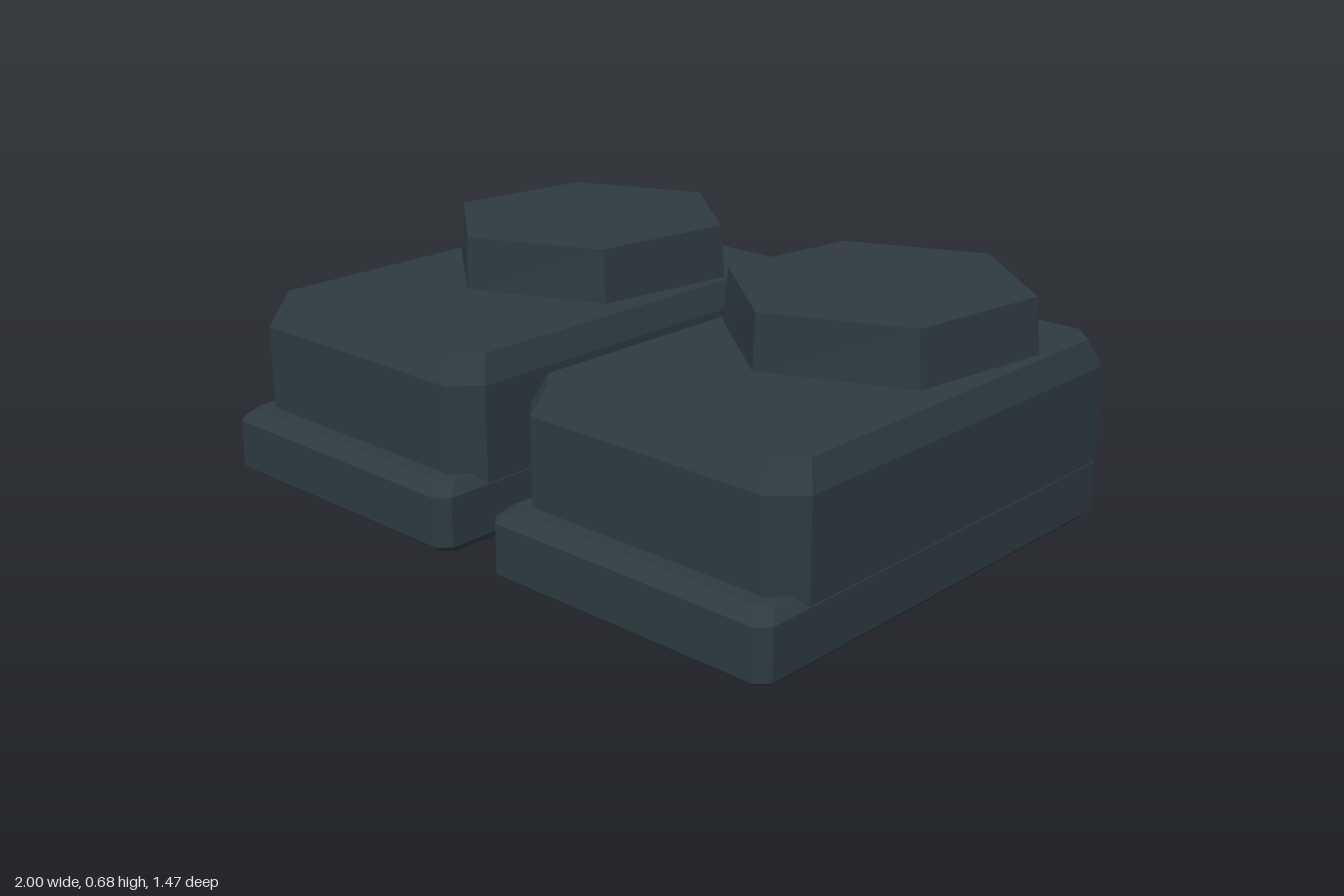
import * as THREE from 'three';
import { ConvexGeometry } from 'three/addons/geometries/ConvexGeometry.js';

// Octagonal outline at height y: half width hx, from z0 to z1, corners cut by c
function octagon(y, hx, z0, z1, c) {
  const points = [];
  for (const sx of [-1, 1]) {
    for (const [z, dir] of [[z0, 1], [z1, -1]]) {
      points.push(new THREE.Vector3(sx * (hx - c), y, z));
      points.push(new THREE.Vector3(sx * hx, y, z + dir * c));
    }
  }
  return points;
}

// Block with every edge bevelled
function bevelledBlock({ h, hx, z0, z1, corner, innerCorner, insetX, insetZ, insetY }) {
  const inner = [hx - insetX, z0 + insetZ, z1 - insetZ, innerCorner];
  return new ConvexGeometry([
    ...octagon(0, ...inner),
    ...octagon(insetY, hx, z0, z1, corner),
    ...octagon(h - insetY, hx, z0, z1, corner),
    ...octagon(h, ...inner),
  ]);
}

// Six-sided tapered ankle, slightly turned
function ankleGeometry() {
  const geometry = new THREE.CylinderGeometry(1, 1, 0.175, 6, 1, false, THREE.MathUtils.degToRad(-8));
  const pos = geometry.attributes.position;
  for (let i = 0; i < pos.count; i++) {
    const top = pos.getY(i) > 0;
    pos.setX(i, pos.getX(i) * (top ? 0.415 : 0.433));
    pos.setZ(i, pos.getZ(i) * (top ? 0.44 : 0.447));
  }
  geometry.computeVertexNormals();
  return geometry;
}

export function createModel() {
  const model = new THREE.Group();
  model.name = 'boots';

  const leather = new THREE.MeshStandardMaterial({ color: 0x2d3a40, flatShading: true });
  leather.name = 'dark slate';

  const body = bevelledBlock({
    h: 0.52, hx: 0.455, z0: -0.737, z1: 0.65, corner: 0.075,
    innerCorner: 0.066, insetX: 0.03, insetZ: 0.04, insetY: 0.075,
  });
  const sole = bevelledBlock({
    h: 0.2, hx: 0.457, z0: -0.69, z1: 0.737, corner: 0.032,
    innerCorner: 0.028, insetX: 0.03, insetZ: 0.04, insetY: 0.03,
  });
  const ankle = ankleGeometry();

  for (const [name, x] of [['rightBoot', -0.543], ['leftBoot', 0.543]]) {
    const boot = new THREE.Group();
    boot.name = name;
    boot.position.x = x;
    const add = (part, geometry) => {
      const mesh = new THREE.Mesh(geometry, leather);
      mesh.name = part;
      boot.add(mesh);
      return mesh;
    };
    add('bootBody', body);
    add('sole', sole);
    add('ankle', ankle).position.set(0, 0.5875, -0.263);
    model.add(boot);
  }
  return model;
}
